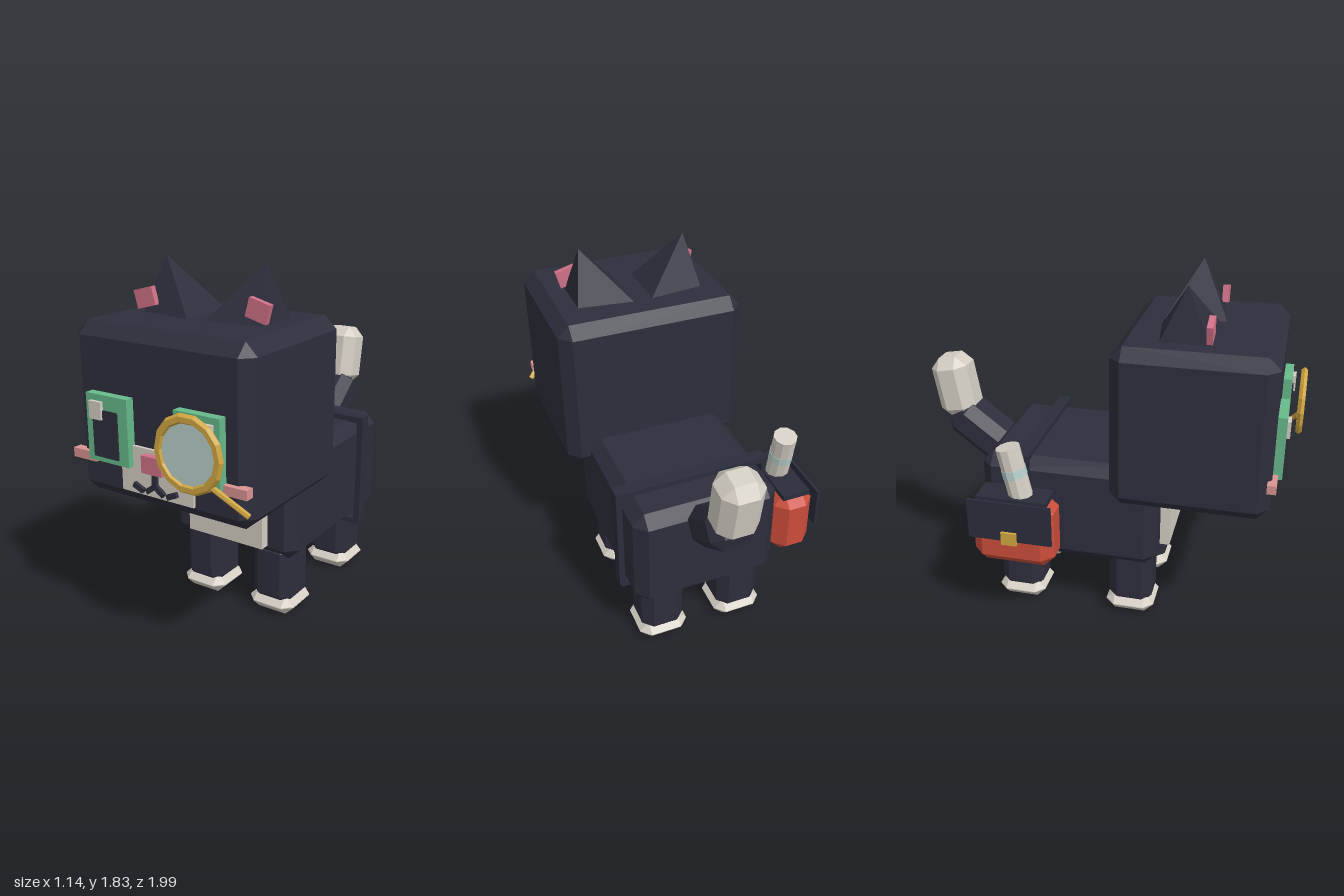
import * as THREE from 'three';
import { ConvexGeometry } from 'three/addons/geometries/ConvexGeometry.js';

const mat = (name, color) => {
  const m = new THREE.MeshStandardMaterial({ color });
  m.name = name;
  return m;
};

export function createModel() {
  const fur = mat('dark fur', 0x2e2e3d);
  const strapMat = mat('strap leather', 0x2a2d3b);
  const cream = mat('cream', 0xd4cec4);
  const green = mat('eye green', 0x66b98a);
  const pink = mat('pink', 0xcf7086);
  const blush = mat('blush', 0xd99391);
  const gold = mat('gold', 0xd2a742);
  const glass = mat('pale glass', 0xb8d0cc);
  const red = mat('bag red', 0xcb4d3b);

  const model = new THREE.Group();
  model.name = 'cat';
  const MID = 0.06; // the cat's own mirror plane
  const mirrorX = (x) => 2 * MID - x;

  const add = (name, geometry, material, x = 0, y = 0, z = 0) => {
    const mesh = new THREE.Mesh(geometry, material);
    mesh.name = name;
    mesh.position.set(x, y, z);
    model.add(mesh);
    return mesh;
  };
  const faceted = (geometry) => {
    const g = geometry.toNonIndexed();
    g.computeVertexNormals();
    return g;
  };

  // Box given by its extents
  const box = (name, m, x0, x1, y0, y1, z0, z1) =>
    add(name, new THREE.BoxGeometry(x1 - x0, y1 - y0, z1 - z0), m,
      (x0 + x1) / 2, (y0 + y1) / 2, (z0 + z1) / 2);

  // Box with every edge and corner chamfered by b
  const chamferGeometry = (w, h, d, b) => {
    const points = [];
    for (const sx of [-1, 1]) for (const sy of [-1, 1]) for (const sz of [-1, 1]) {
      const X = w / 2, Y = h / 2, Z = d / 2;
      points.push(
        new THREE.Vector3(sx * X, sy * (Y - b), sz * (Z - b)),
        new THREE.Vector3(sx * (X - b), sy * Y, sz * (Z - b)),
        new THREE.Vector3(sx * (X - b), sy * (Y - b), sz * Z));
    }
    return new ConvexGeometry(points);
  };
  const chamferBox = (name, m, x0, x1, y0, y1, z0, z1, b) =>
    add(name, chamferGeometry(x1 - x0, y1 - y0, z1 - z0, b), m,
      (x0 + x1) / 2, (y0 + y1) / 2, (z0 + z1) / 2);

  // Cylinder between two points
  const rod = (name, m, a, b, r, sides) => {
    const p = new THREE.Vector3(...a), q = new THREE.Vector3(...b);
    const mesh = add(name, faceted(new THREE.CylinderGeometry(r, r, p.distanceTo(q), sides)), m);
    mesh.position.copy(p).lerp(q, 0.5);
    mesh.quaternion.setFromUnitVectors(new THREE.Vector3(0, 1, 0), q.sub(p).normalize());
    return mesh;
  };

  // Body and head
  chamferBox('body', fur, -0.32, 0.44, 0.33, 0.9, -0.615, 0.32, 0.06);
  chamferBox('head', fur, -0.43, 0.55, 0.745, 1.57, 0.09, 0.88, 0.06);
  box('chest', cream, -0.165, 0.285, 0.4, 0.78, 0.3, 0.372);
  box('belly', cream, -0.14, 0.26, 0.305, 0.345, -0.41, 0.12);

  // Legs and paws
  for (const [end, z] of [['front', 0.175], ['back', -0.44]]) {
    for (const [side, x] of [['right', -0.155], ['left', mirrorX(-0.155)]]) {
      chamferBox(`${end} ${side} leg`, fur, x - 0.115, x + 0.115, 0.05, 0.4,
        z - 0.117, z + 0.117, 0.05);
      chamferBox(`${end} ${side} paw`, cream, x - 0.132, x + 0.132, 0, 0.105,
        z - 0.131, z + 0.131, 0.05);
    }
  }

  // Tail in two leaning blocks
  const tailBase = add('tail base', chamferGeometry(0.235, 0.35, 0.21, 0.055), fur, MID, 0.88, -0.735);
  tailBase.rotation.x = -0.92;
  const tailTip = add('tail tip', chamferGeometry(0.215, 0.34, 0.205, 0.055), cream, MID, 1.123, -0.873);
  tailTip.rotation.x = -0.17;

  // Ears, eyes and cheeks on both sides
  for (const s of [-1, 1]) {
    const side = s < 0 ? 'right' : 'left';
    const tilt = -s * 0.26;
    const ear = add(`${side} ear`,
      faceted(new THREE.ConeGeometry(0.22, 0.31, 4).rotateY(Math.PI / 4)), fur,
      MID + s * 0.24, 1.68, 0.425);
    ear.rotation.z = tilt;
    const inner = add(`${side} inner ear`, new THREE.BoxGeometry(0.11, 0.09, 0.03), pink,
      MID + s * 0.315, 1.64, 0.543);
    inner.rotation.z = tilt;

    // Extents measured outward from the mirror plane
    const pair = (name, m, near, far, ...rest) =>
      box(`${side} ${name}`, m, Math.min(MID + s * near, MID + s * far),
        Math.max(MID + s * near, MID + s * far), ...rest);
    pair('eye', green, 0.13, 0.37, 0.94, 1.26, 0.87, 0.925);
    pair('pupil', fur, 0.185, 0.33, 0.965, 1.19, 0.9, 0.932);
    pair('eye glint', cream, 0.27, 0.34, 1.145, 1.23, 0.9, 0.942);
    pair('cheek', blush, 0.35, 0.49, 0.92, 0.965, 0.86, 0.905);
  }

  // Muzzle, nose and mouth
  box('muzzle', cream, -0.14, 0.265, 0.815, 1.04, 0.87, 0.895);
  box('nose', pink, 0.005, 0.118, 0.937, 1.02, 0.88, 0.93);
  const stroke = (x0, y0, x1, y1) => {
    const m = add('mouth line',
      new THREE.BoxGeometry(Math.hypot(x1 - x0, y1 - y0), 0.025, 0.03), fur,
      (x0 + x1) / 2, (y0 + y1) / 2, 0.898);
    m.rotation.z = Math.atan2(y1 - y0, x1 - x0);
  };
  stroke(MID, 0.94, MID, 0.865);
  for (const s of [-1, 1]) {
    stroke(MID, 0.875, MID + s * 0.048, 0.84);
    stroke(MID + s * 0.068, 0.838, MID + s * 0.122, 0.862);
  }

  // Magnifying glass over the left eye
  const rim = add('lens rim', faceted(new THREE.TorusGeometry(0.157, 0.024, 6, 14)), gold, 0.31, 1.1, 0.982);
  rim.scale.z = 0.8;
  add('lens', faceted(new THREE.CylinderGeometry(0.15, 0.15, 0.012, 14).rotateX(Math.PI / 2)), glass,
    0.31, 1.1, 0.982);
  rod('lens handle', gold, [0.43, 0.98, 0.983], [0.557, 0.85, 0.9], 0.014, 6);

  // Strap around the body
  const [z0, z1] = [-0.41, -0.342];
  box('strap top', strapMat, -0.34, 0.47, 0.895, 0.928, z0, z1);
  box('strap bottom', strapMat, -0.34, 0.46, 0.303, 0.332, z0, z1);
  box('strap left', strapMat, 0.435, 0.47, 0.32, 0.928, z0, z1);
  box('strap right', strapMat, -0.34, -0.315, 0.32, 0.928, z0, z1);

  // Satchel on the right side
  chamferBox('bag', red, -0.55, -0.335, 0.39, 0.76, -0.595, -0.165, 0.06);
  box('bag lid', strapMat, -0.52, -0.37, 0.745, 0.772, -0.565, -0.195);
  box('bag flap', strapMat, -0.562, -0.548, 0.555, 0.772, -0.597, -0.16);
  box('bag buckle', gold, -0.576, -0.555, 0.54, 0.61, -0.42, -0.34);

  // Rolled scroll with its band
  const low = new THREE.Vector3(-0.443, 0.7, -0.335), high = new THREE.Vector3(-0.443, 1.028, -0.407);
  const along = (t) => low.clone().lerp(high, t).toArray();
  rod('scroll', cream, along(0), along(1), 0.062, 10);
  rod('scroll band', glass, along(0.52), along(0.66), 0.064, 10);

  return model;
}
